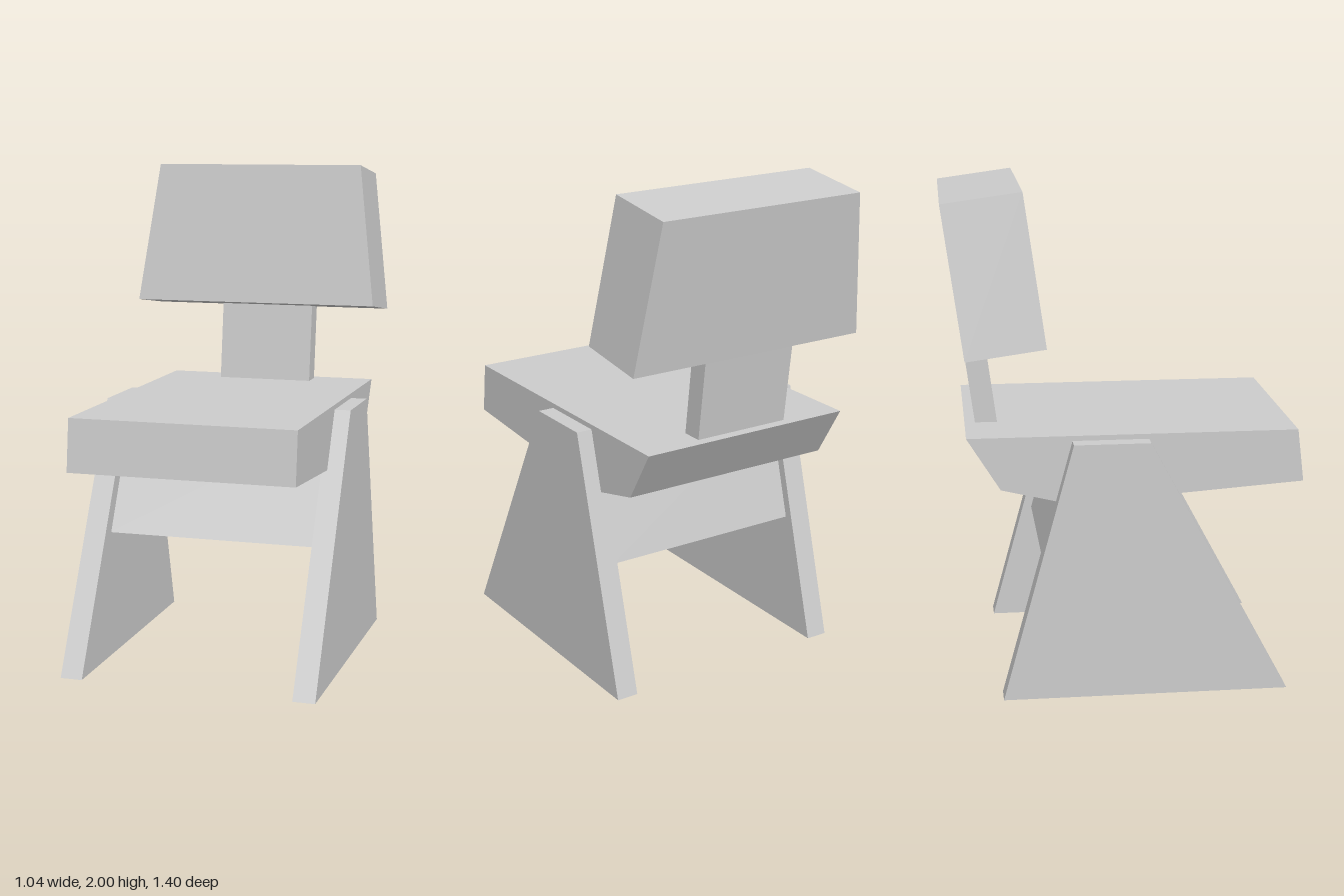
import * as THREE from 'three';

const material = new THREE.MeshStandardMaterial({ color: 0xcccccc, flatShading: true });

function extrude(points, depth) {
  const shape = new THREE.Shape(points.map(([x, y]) => new THREE.Vector2(x, y)));
  return new THREE.ExtrudeGeometry(shape, { depth, bevelEnabled: false });
}

// Slab with a side outline given as [z, y], extruded across x and centred on x
function slab(name, outline, width, x = 0) {
  const geometry = extrude(outline, width).translate(0, 0, -width / 2).rotateY(-Math.PI / 2);
  const mesh = new THREE.Mesh(geometry, material);
  mesh.name = name;
  mesh.position.x = x;
  return mesh;
}

export function createModel() {
  const chair = new THREE.Group();
  chair.name = 'chair';

  // Seat with a shallow keel underneath and an undercut rear
  chair.add(slab('seat', [
    [0.68, 1.06], [0.705, 0.85], [-0.22, 0.785], [-0.49, 0.85], [-0.62, 1.06],
  ], 0.91));

  // Block under the seat, joining the two leg panels
  chair.add(slab('underSeatBlock', [
    [0.30, 0.52], [-0.32, 0.50], [-0.19, 0.98], [0.06, 0.98],
  ], 0.866));

  // Tapered leg panels
  for (const [name, side] of [['leftLeg', 1], ['rightLeg', -1]]) {
    chair.add(slab(name, [
      [0.645, 0], [-0.495, 0], [-0.21, 1.04], [0.09, 1.04],
    ], 0.09, side * 0.476));
  }

  // Post between the seat and the backrest
  chair.add(slab('backPost', [
    [-0.49, 1.06], [-0.578, 1.06], [-0.62, 1.375], [-0.533, 1.387],
  ], 0.406));

  // Backrest: a trapezoid block leaning backwards
  const backrest = new THREE.Mesh(
    extrude([[-0.521, 0], [0.521, 0], [0.444, 0.59], [-0.444, 0.59]], 0.313),
    material,
  );
  backrest.name = 'backrest';
  backrest.position.set(0, 1.375, -0.62);
  backrest.rotation.x = -0.135;
  chair.add(backrest);

  return chair;
}
